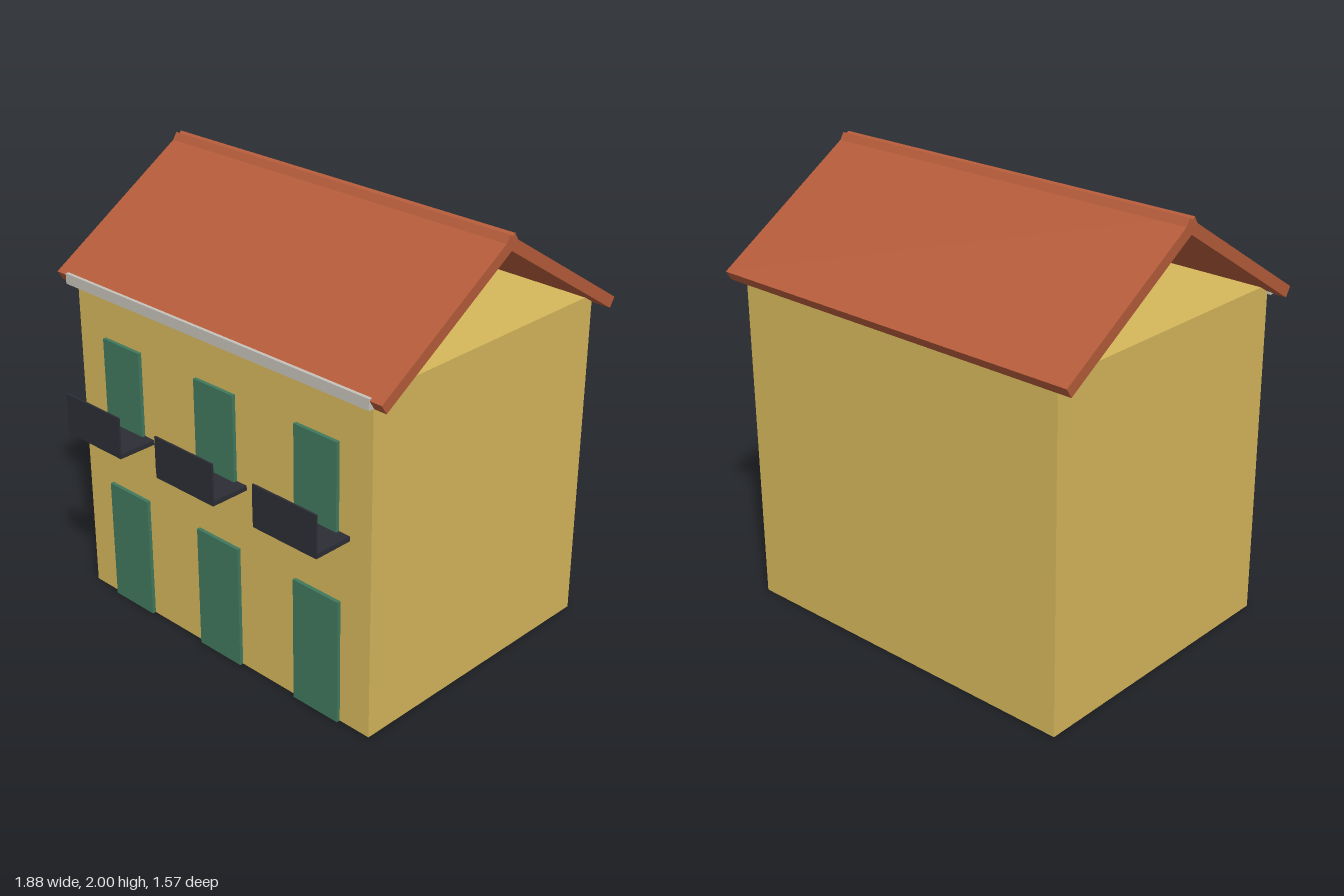
import * as THREE from 'three';

const material = (name, color) => {
  const m = new THREE.MeshStandardMaterial({ color });
  m.name = name;
  return m;
};

export function createModel() {
  const house = new THREE.Group();
  house.name = 'house';

  const plaster = material('yellow plaster', 0xd6b75b);
  const tile = material('terracotta tile', 0xb55c3a);
  const green = material('green paint', 0x40795e);
  const iron = material('dark iron', 0x2d2d36);
  const metal = material('pale gutter metal', 0xc6c2ba);

  // Box given by its limits on each axis
  const box = (name, mat, [x0, x1], [y0, y1], [z0, z1], parent = house) => {
    const mesh = new THREE.Mesh(new THREE.BoxGeometry(x1 - x0, y1 - y0, z1 - z0), mat);
    mesh.position.set((x0 + x1) / 2, (y0 + y1) / 2, (z0 + z1) / 2);
    mesh.name = name;
    parent.add(mesh);
    return mesh;
  };
  const span = (centre, width) => [centre - width / 2, centre + width / 2];

  // Walls with a flat top below the open gable
  box('walls', plaster, [-0.86, 0.86], [0, 1.535], [-0.74, 0.6]);

  // Two sloping roof slabs that cross slightly at the ridge
  const ridgeZ = -0.07;
  for (const side of [1, -1]) {
    const slab = new THREE.Mesh(new THREE.BoxGeometry(1.88, 0.05, 0.866), tile);
    slab.name = side > 0 ? 'frontRoof' : 'backRoof';
    slab.position.set(0, 1.746, ridgeZ + side * 0.337);
    slab.rotation.x = side * 0.567;
    house.add(slab);
  }

  // Gutter under the front eave
  box('gutter', metal, [-0.88, 0.88], [1.495, 1.543], [0.595, 0.648]);

  // Three bays: door below, balcony door and balcony above
  for (const x of [-0.575, 0, 0.575]) {
    box('door', green, span(x, 0.25), [0, 0.578], [0.59, 0.617]);
    box('balconyDoor', green, span(x, 0.23), [0.867, 1.287], [0.59, 0.617]);

    const balcony = new THREE.Group();
    balcony.name = 'balcony';
    house.add(balcony);
    box('balconyFloor', iron, span(x, 0.345), [0.873, 0.895], [0.595, 0.785], balcony);
    box('balconyRailing', iron, span(x, 0.345), [0.895, 1.065], [0.778, 0.787], balcony);
  }

  return house;
}
